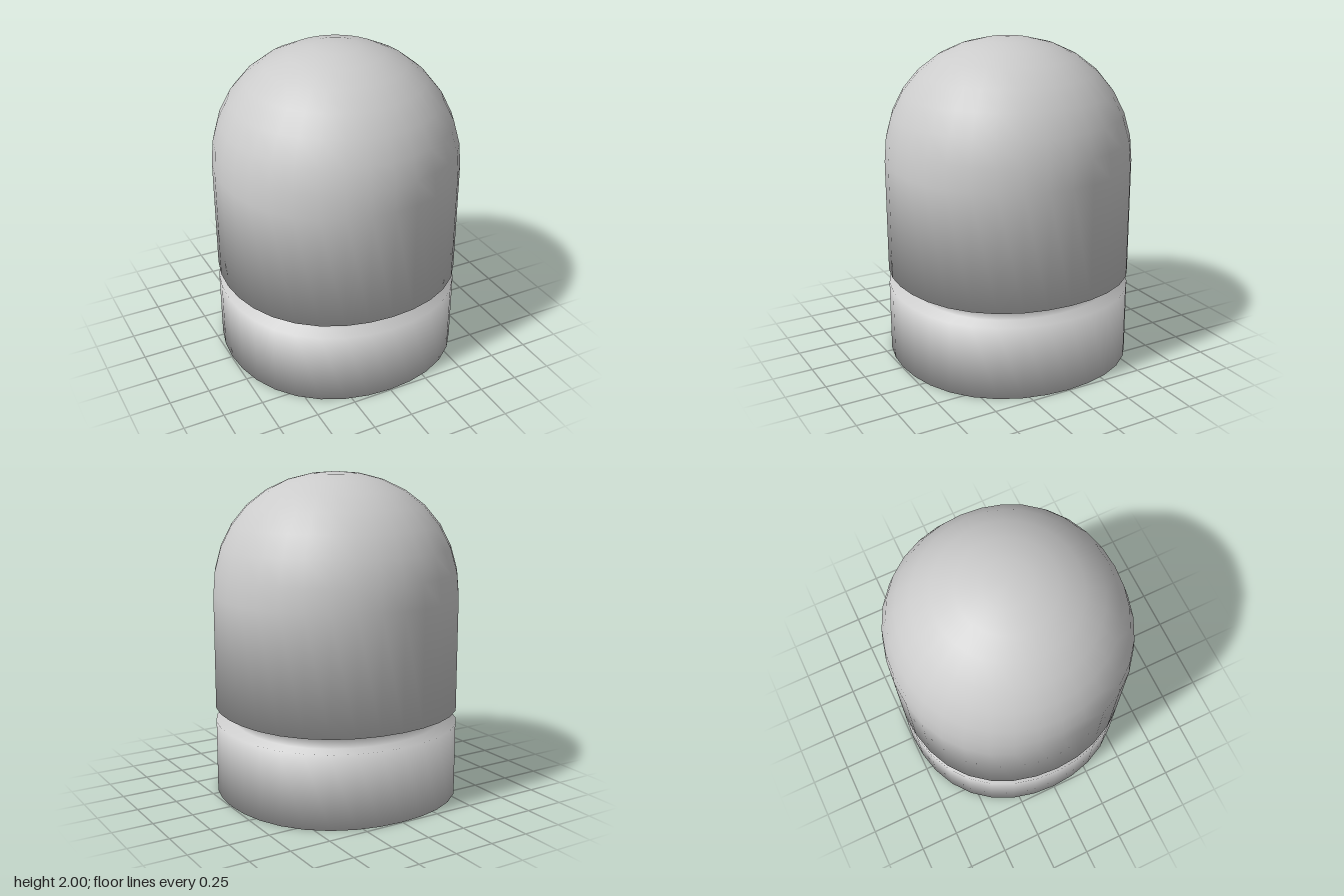
import * as THREE from 'three';

const SEGMENTS = 32;
const R = 0.745;        // outer radius
const NECK = 0.64;      // radius at the bottom of the groove
const BORE = 0.59;      // radius of the recess underneath
const RECESS = 0.45;    // height of the recess
const DOME_Y = 1.255;   // where the rounded top begins

// Quarter arc from the axis (t = 0) to the full radius (t = 1)
const arc = (radius, height, y, steps) => Array.from({ length: steps + 1 }, (_, i) => {
  const a = (i / steps) * Math.PI / 2;
  return [radius * Math.sin(a), y + height * Math.cos(a)];
});

// Turned shape, smooth over all edges, with a slightly squared roundness
function turned(name, profile, material) {
  const geometry = new THREE.LatheGeometry(profile.map(([r, y]) => new THREE.Vector2(r, y)), SEGMENTS);
  const { position, normal } = geometry.attributes;
  const count = profile.length;

  // Profile normals: each point takes the mean of its two neighbouring edges
  const edges = profile.slice(1).map(([r, y], j) =>
    new THREE.Vector2(y - profile[j][1], profile[j][0] - r).normalize());
  const normals = profile.map(([r, y], j) => {
    if (r < 1e-6) return new THREE.Vector2(0, y > DOME_Y ? 1 : -1);
    return edges[j - 1].clone().add(edges[j]).normalize();
  });

  const p = new THREE.Vector3();
  for (let i = 0; i < position.count; i++) {
    const phi = Math.floor(i / count) / SEGMENTS * Math.PI * 2;
    const n = normals[i % count];
    normal.setXYZ(i, n.x * Math.sin(phi), n.y, n.x * Math.cos(phi));

    // Swell the directions between the axes a little
    p.fromBufferAttribute(position, i);
    const base = Math.min(p.y, DOME_Y);
    p.y -= base;
    const d = p.clone().normalize();
    p.multiplyScalar(1 + 0.052 * (1 - d.x ** 4 - d.y ** 4 - d.z ** 4));
    position.setXYZ(i, p.x, p.y + base, p.z);
  }
  const mesh = new THREE.Mesh(geometry, material);
  mesh.name = name;
  return mesh;
}

export function createModel() {
  const group = new THREE.Group();
  group.name = 'domedCapsule';
  const material = new THREE.MeshStandardMaterial({ color: 0xcccccc });

  // Rounded recess underneath, from its middle down to the rim
  const recess = arc(BORE, RECESS, 0, 8);
  // Flat bottom rim and base band
  const base = [[R, 0], [R, 0.455]];
  // Groove between base and body
  const groove = [[NECK, 0.455], [NECK, 0.545]];
  // Straight body, then the rounded top
  const body = [[R, 0.545]];
  const dome = arc(R, R, DOME_Y, 8).reverse();

  group.add(turned('capsuleShell', [...recess, ...base, ...groove, ...body, ...dome], material));
  return group;
}
